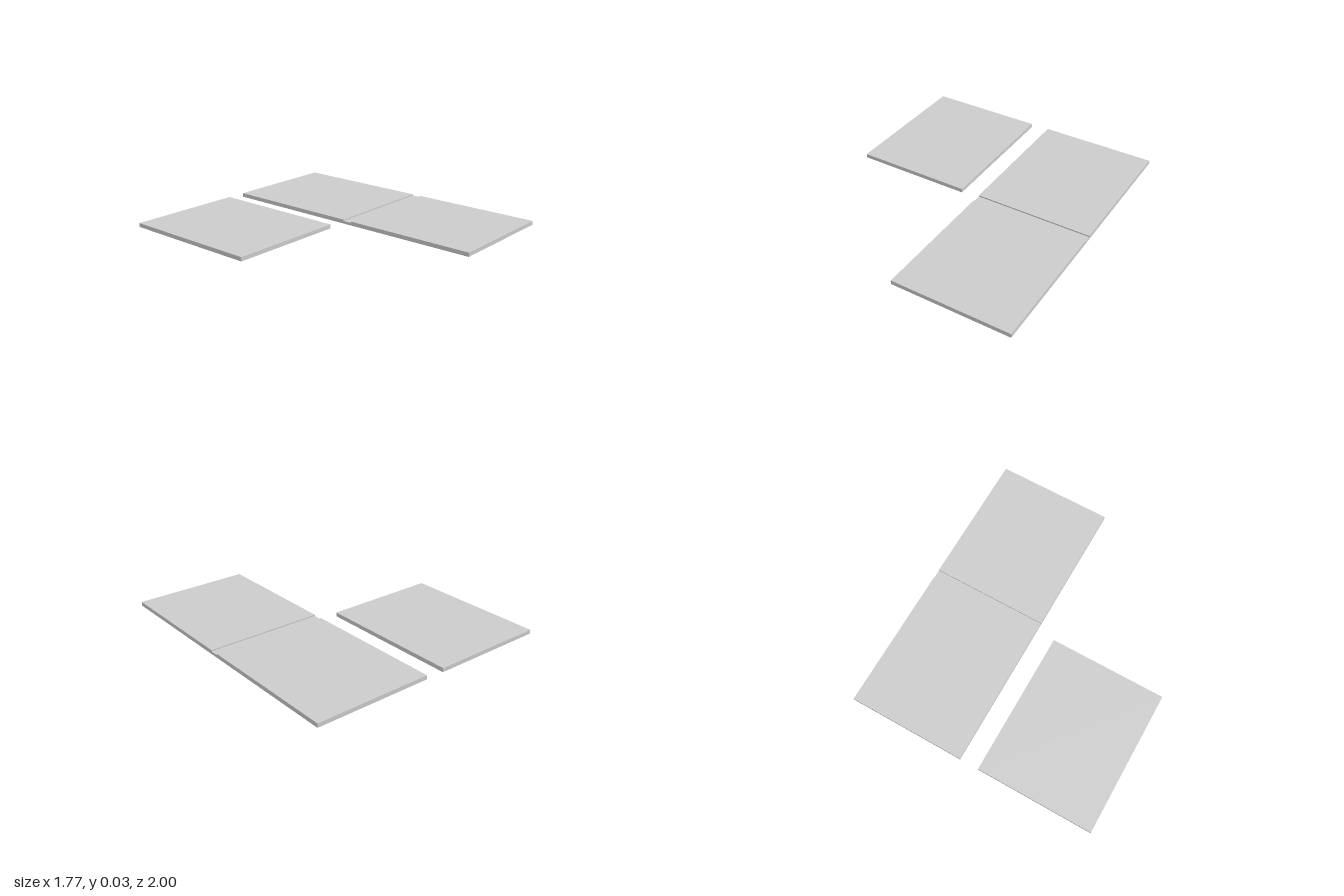
import * as THREE from 'three';

export function createModel() {
  const group = new THREE.Group();
  const material = new THREE.MeshStandardMaterial({ color: 0xcccccc, flatShading: true });

  // Flat slab standing on the ground, given by its x and z extents
  const slab = (name, x0, x1, z0, z1, height) => {
    const mesh = new THREE.Mesh(new THREE.BoxGeometry(x1 - x0, height, z1 - z0), material);
    mesh.position.set((x0 + x1) / 2, height / 2, (z0 + z1) / 2);
    mesh.name = name;
    group.add(mesh);
  };

  const inner = 0.068, outer = 0.886, thickness = 0.028;
  const hingeBack = 0.003, hingeFront = 0.067;

  // Separate panel
  slab('rightPanel', -outer, -inner, -1, hingeBack, thickness);

  // Two panels joined by a thinner strip
  slab('leftBackPanel', inner, outer, -1, hingeBack, thickness);
  slab('joiningStrip', inner, outer, hingeBack, hingeFront, 0.019);
  slab('leftFrontPanel', inner, outer, hingeFront, 1, thickness);

  return group;
}
